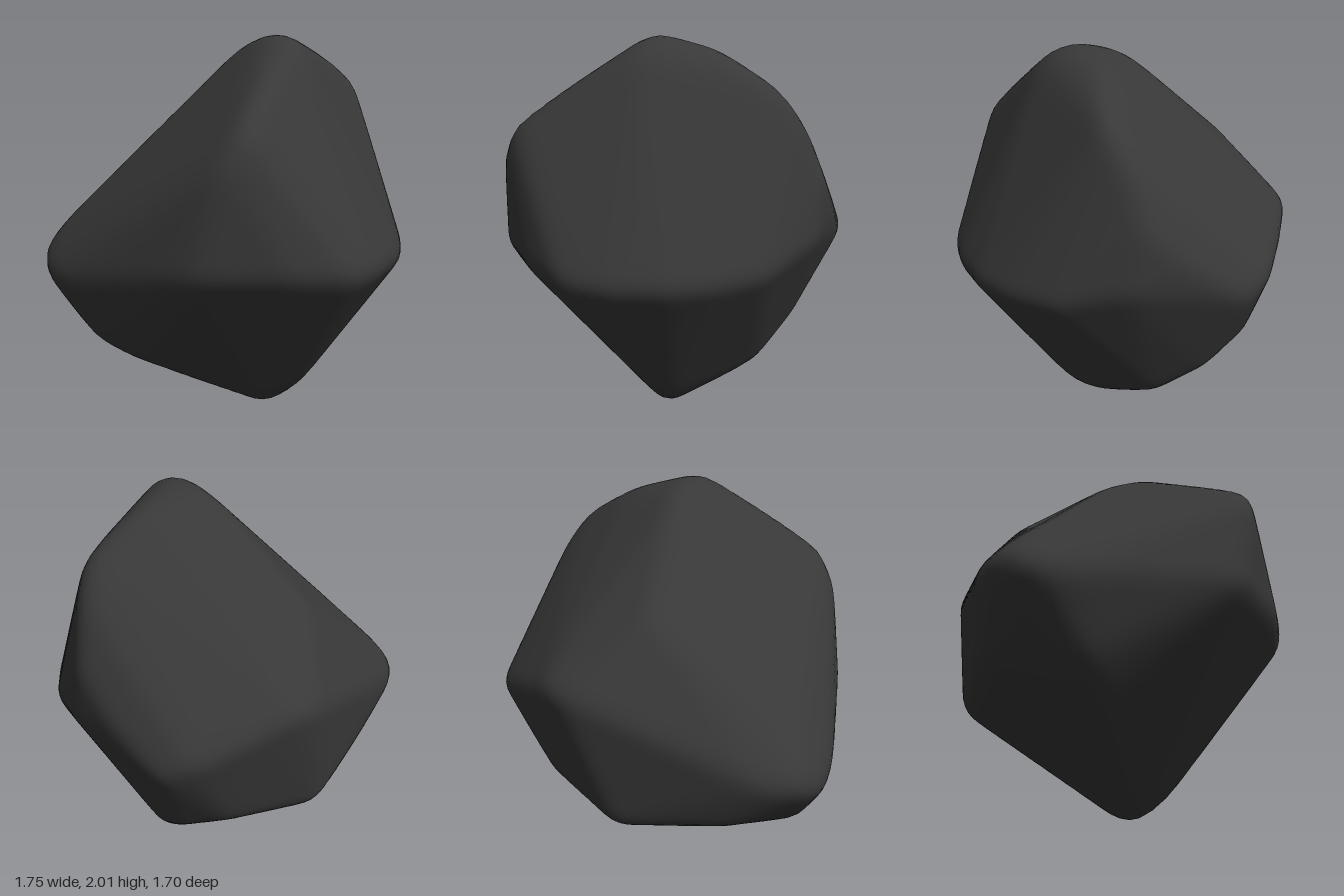
import * as THREE from 'three';
import { ConvexGeometry } from 'three/addons/geometries/ConvexGeometry.js';
import { mergeVertices } from 'three/addons/utils/BufferGeometryUtils.js';

// Corners of the angular stone before its edges are worn down
const corners = [
  [-0.06, 2.02, 0.13], [-0.06, 2.015, 0.26], [-0.08, 1.95, 0.36], [0.3, 1.94, 0.18], // crown
  [0.57, 1.79, 0.28], [0.67, 1.65, 0.24],
  [0, 1.97, -0.04], [0, 1.53, -0.57],                                              // back slope ridge
  [-0.68, 1.61, 0.48], [-0.76, 1.47, 0.43],                                        // upper left shoulder
  [0.79, 1.35, 0.19], [0.88, 0.97, -0.3], [0.84, 1.17, 0], [0.77, 1.05, 0.27],     // right side
  [0.82, 1.05, -0.44], [0.62, 1.14, -0.62], [0.63, 0.46, -0.2], [0.55, 0.58, -0.49],
  [-0.33, 0.93, 0.83], [-0.12, 0.93, 0.85], [0.17, 0.94, 0.82], [0.37, 0.94, 0.72], // front brow
  [0.57, 0.95, 0.56], [-0.56, 0.95, 0.66], [-0.83, 0.95, 0.31], [-0.85, 0.95, 0.18],
  [0.45, 1.22, -0.75], [0.33, 1.2, -0.8], [-0.6, 0.92, -0.86], [-0.75, 0.9, -0.81], // back
  [-0.84, 0.84, -0.72], [-0.875, 0.83, -0.5], [-0.72, 1.01, -0.74],
  [0.13, 0.51, -0.76], [-0.4, 0.61, -0.77],
  [-0.62, 0.37, -0.32], [-0.74, 0.48, -0.43], [0.46, 0.25, -0.02],                 // underside
  [0.04, 0.12, 0.28], [0.02, -0.01, 0.07], [-0.02, 0.01, 0.14],
].map(([x, y, z]) => new THREE.Vector3(x, y - 1, z).multiplyScalar(1.012));

// Planes of the hull around the corners
function hullPlanes(points) {
  const p = new ConvexGeometry(points).attributes.position;
  const v = (i) => new THREE.Vector3().fromBufferAttribute(p, i);
  const planes = [];
  for (let i = 0; i < p.count; i += 3) {
    planes.push(new THREE.Plane().setFromCoplanarPoints(v(i), v(i + 1), v(i + 2)));
  }
  return planes;
}

// Distance from the centre to the hull along a direction
function reach(planes, d) {
  let r = Infinity;
  for (const pl of planes) {
    const c = pl.normal.dot(d);
    if (c > 1e-4) r = Math.min(r, -pl.constant / c);
  }
  return r;
}

// Averaging the reach over a small cone rounds edges and corners
function wornReach(planes, d) {
  const u = new THREE.Vector3(0.31, 0.52, 0.8).cross(d).normalize();
  const w = new THREE.Vector3().crossVectors(d, u);
  const s = new THREE.Vector3();
  let sum = reach(planes, d), n = 1;
  for (const spread of [0.04, 0.08]) {
    for (let k = 0; k < 10; k++) {
      const a = (k / 10) * Math.PI * 2;
      s.copy(d).addScaledVector(u, spread * Math.cos(a)).addScaledVector(w, spread * Math.sin(a)).normalize();
      sum += reach(planes, s);
      n++;
    }
  }
  return sum / n;
}

export function createModel() {
  const planes = hullPlanes(corners);
  let geo = new THREE.IcosahedronGeometry(1, 24);
  geo.deleteAttribute('normal');
  geo.deleteAttribute('uv');
  geo = mergeVertices(geo, 1e-4);

  const pos = geo.attributes.position;
  const d = new THREE.Vector3();
  for (let i = 0; i < pos.count; i++) {
    d.fromBufferAttribute(pos, i).normalize();
    d.multiplyScalar(wornReach(planes, d));
    pos.setXYZ(i, d.x, d.y, d.z);
  }

  // Stand it on the ground
  geo.computeBoundingBox();
  geo.translate(0, -geo.boundingBox.min.y, 0);
  geo.computeVertexNormals();

  const stone = new THREE.Mesh(geo, new THREE.MeshStandardMaterial({ color: 0x383838 }));
  stone.name = 'stone';
  const group = new THREE.Group();
  group.name = 'rock';
  group.add(stone);
  return group;
}
